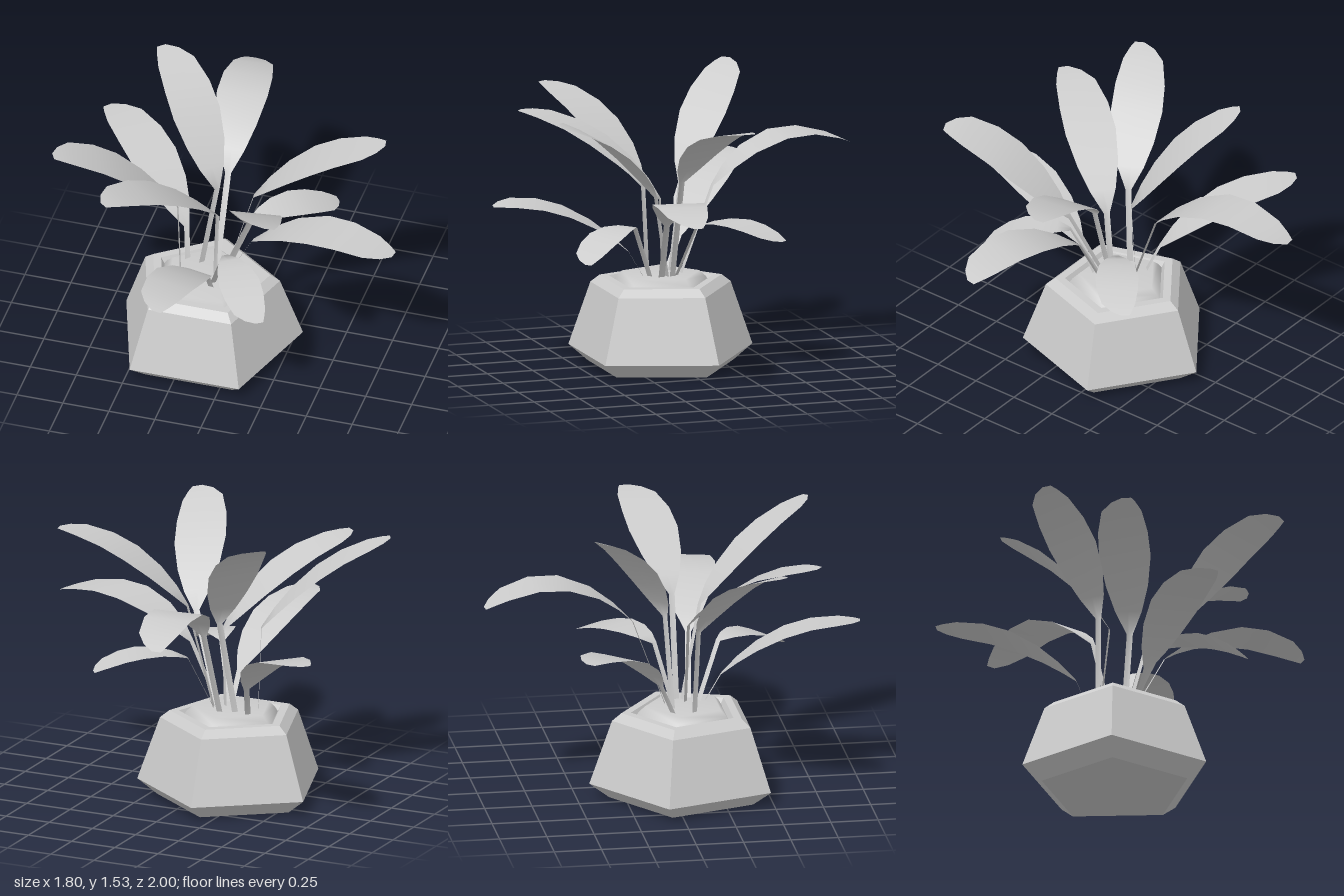
import * as THREE from 'three';

// Each leaf: stem foot (x, z), blade start, blade tip, lift of the arch, droop of its left edge
const LEAVES = {
  backLeaf: [[-0.14, -0.02], [-0.13, 0.95, -0.2], [-0.2, 1.1, -1], 0.34, 0],
  frontLeaf: [[-0.11, 0.17], [-0.11, 0.63, 0.27], [-0.21, 0.91, 0.99], 0.2, 0.06],
  lowLeftLeaf: [[-0.08, 0.1], [0.1, 0.8, 0.13], [0.89, 0.95, 0.27], 0.25, 0],
  highLeftLeaf: [[-0.08, 0.04], [0.08, 1.02, 0.04], [0.76, 1.4, -0.07], 0.18, 0],
  backLeftLeaf: [[-0.1, 0.02], [0.03, 0.77, -0.06], [0.43, 0.74, -0.38], 0.12, 0],
  frontLeftHighLeaf: [[-0.09, 0.06], [0.1, 0.95, 0.19], [0.35, 1.43, 0.81], 0.17, 0.2],
  frontLeftLowLeaf: [[-0.12, 0.14], [-0.01, 0.78, 0.27], [0.25, 0.66, 0.65], 0.12, 0],
  outerRightLeaf: [[-0.3, 0.1], [-0.31, 0.93, 0.12], [-0.9, 1.4, 0.45], 0.18, 0],
  frontRightLeaf: [[-0.12, 0.08], [-0.1, 0.9, 0.1], [-0.57, 1.33, 0.7], 0.2, 0],
  backRightLowLeaf: [[-0.29, 0], [-0.32, 0.65, -0.08], [-0.86, 0.98, -0.57], 0.19, 0],
  backRightHighLeaf: [[-0.22, 0], [-0.14, 0.97, -0.03], [-0.53, 1.53, -0.45], 0.2, 0],
};

// Blade outline: position along the blade, half width
const OUTLINE = [[0, 0.016], [0.14, 0.07], [0.3, 0.11], [0.5, 0.135], [0.68, 0.13], [0.86, 0.105], [0.95, 0.065], [1, 0.025]];

// Thin ribbon: narrow stem flaring into an arched blade
function leafGeometry([x, z], startPoint, tipPoint, lift, droop) {
  const start = new THREE.Vector3(...startPoint);
  const tip = new THREE.Vector3(...tipPoint);
  const control = start.clone().lerp(tip, 0.45);
  control.y += lift;
  const blade = new THREE.QuadraticBezierCurve3(start, control, tip);
  const left = new THREE.Vector3(0, 1, 0).cross(tip.clone().sub(start)).normalize();
  left.y = -droop;
  const scale = Math.min(1, 0.55 + 0.55 * start.distanceTo(tip));

  const rows = [[new THREE.Vector3(x, 0.46, z), 0.016, 0]];
  for (const [t, w] of OUTLINE) {
    // the point of the leaf bends to its left
    rows.push([blade.getPointAt(t), t ? w * scale : w, 0.04 * t ** 14]);
  }

  const positions = [], index = [];
  rows.forEach(([p, w, shift], i) => {
    for (const side of [1, 0, -1]) positions.push(...p.clone().addScaledVector(left, shift + side * w));
    if (i === 0) return;
    for (let k = 0; k < 2; k++) {
      const a = (i - 1) * 3 + k, b = a + 3;
      index.push(a, a + 1, b, a + 1, b + 1, b);
    }
  });
  const geometry = new THREE.BufferGeometry();
  geometry.setAttribute('position', new THREE.Float32BufferAttribute(positions, 3));
  geometry.setIndex(index);
  geometry.computeVertexNormals();
  return geometry;
}

// Five-sided turned shape with a flat side to the front
function pentagonal(name, profile, material) {
  const points = profile.map(([r, y]) => new THREE.Vector2(r, y));
  const mesh = new THREE.Mesh(new THREE.LatheGeometry(points, 5, Math.PI), material);
  mesh.name = name;
  mesh.position.set(-0.17, 0, 0.07);
  return mesh;
}

export function createModel() {
  const model = new THREE.Group();
  model.name = 'pottedPlant';
  const faceted = new THREE.MeshStandardMaterial({ color: 0xcccccc, flatShading: true });
  const smooth = new THREE.MeshStandardMaterial({ color: 0xcccccc });
  const leafMaterial = new THREE.MeshStandardMaterial({ color: 0xcccccc, side: THREE.DoubleSide });

  // Pot with bevelled foot and rim
  model.add(pentagonal('pot', [
    [0, 0], [0.4, 0], [0.505, 0.08], [0.385, 0.42], [0.335, 0.46], [0.285, 0.46], [0.265, 0.43], [0, 0.43],
  ], faceted));

  // Soil mound
  model.add(pentagonal('soil', [[0.265, 0.43], [0.245, 0.46], [0.212, 0.49], [0, 0.49]], smooth));

  // Leaves with their stems
  const leaves = new THREE.Group();
  leaves.name = 'leaves';
  for (const [name, shape] of Object.entries(LEAVES)) {
    const leaf = new THREE.Mesh(leafGeometry(...shape), leafMaterial);
    leaf.name = name;
    leaves.add(leaf);
  }
  model.add(leaves);
  return model;
}
